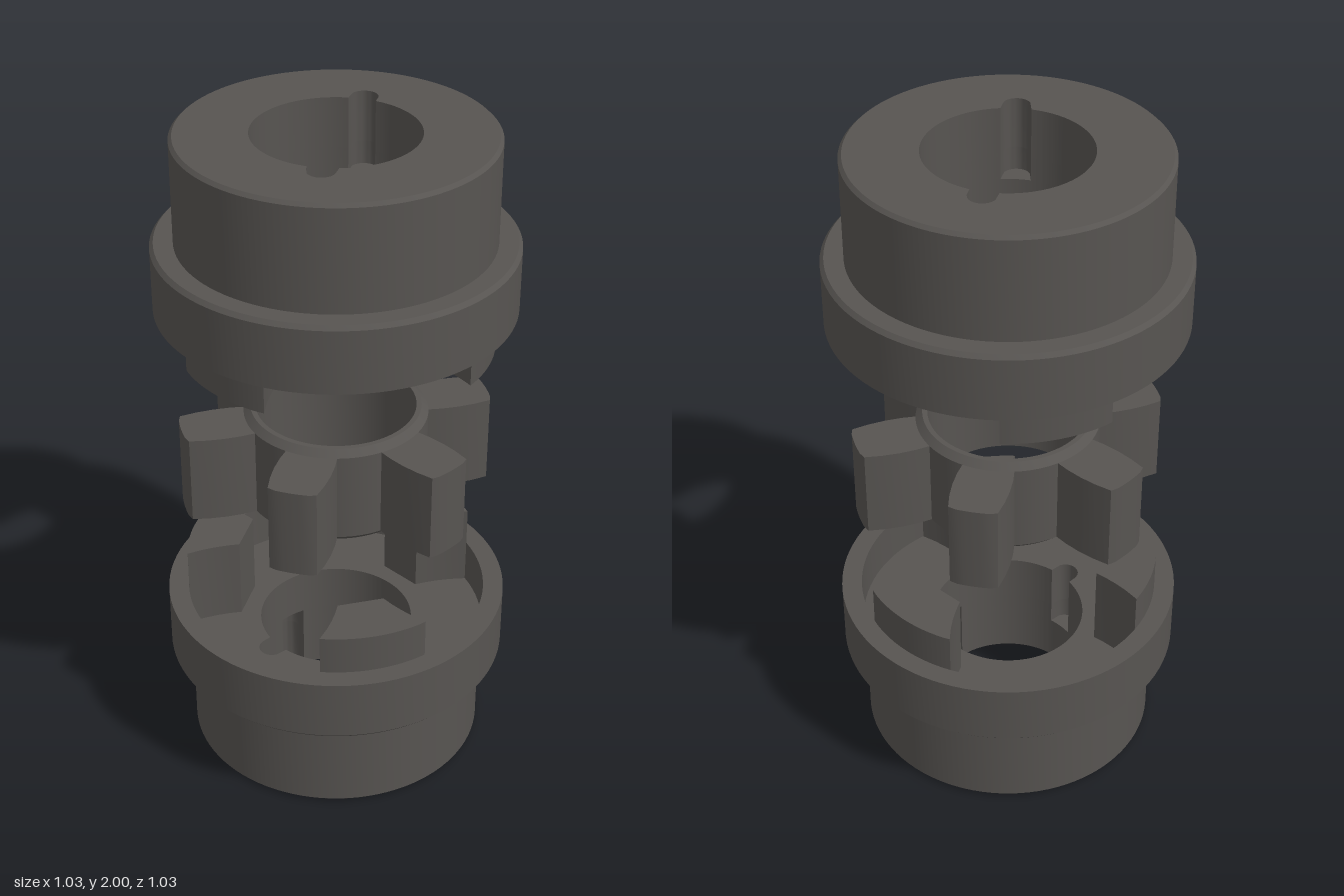
import * as THREE from 'three';
import { toCreasedNormals } from 'three/addons/utils/BufferGeometryUtils.js';

const steel = new THREE.MeshStandardMaterial({ color: 0x575451 });
steel.name = 'dark steel grey';

const rad = THREE.MathUtils.degToRad;
const BORE = 0.235;

// plan point at an angle from the front (+z towards +x), in shape space
const polar = (deg, r) => new THREE.Vector2(r * Math.sin(rad(deg)), -r * Math.cos(rad(deg)));

// plan point at distance r along an axis, shifted sideways by s
const along = (deg, r, s) => polar(deg, r).add(polar(deg + 90, s));

function part(geometry, name) {
  const mesh = new THREE.Mesh(toCreasedNormals(geometry, rad(28)), steel);
  mesh.name = name;
  return mesh;
}

// upright prism from a plan shape
function prism(shape, y0, y1, name) {
  const geo = new THREE.ExtrudeGeometry(shape, { depth: y1 - y0, bevelEnabled: false, curveSegments: 48 });
  geo.rotateX(-Math.PI / 2).translate(0, y0, 0);
  return part(geo, name);
}

function turned(profile, name) {
  const pts = [...profile, profile[0]].map(([x, y]) => new THREE.Vector2(x, y));
  return part(new THREE.LatheGeometry(pts, 96), name);
}

// ring whose bore carries half-round screw notches
function notchedRing(notches, y0, y1, name) {
  const shape = new THREE.Shape();
  shape.absarc(0, 0, 0.4, 0, Math.PI * 2);
  const d = 0.255, r = 0.04, pts = [];
  for (let a = 0; a < 360; a += 1.5) {
    let radius = BORE;
    for (const n of notches) {
      const t = rad(a - n), s = d * Math.sin(t);
      if (Math.cos(t) > 0 && Math.abs(s) < r) {
        radius = Math.max(radius, d * Math.cos(t) + Math.sqrt(r * r - s * s));
      }
    }
    pts.push(polar(a, radius));
  }
  shape.holes.push(new THREE.Path(pts));
  return prism(shape, y0, y1, name);
}

// half width of a spider arm, gently barrelled
const armHalfWidth = (r) => 0.082 - (r - 0.34) ** 2;

function makeHub(name) {
  const hub = new THREE.Group();
  hub.name = name;
  // stepped body with a recessed inner face
  hub.add(turned([
    [0.4, 0], [0.44, 0], [0.45, 0.01], [0.45, 0.31], [0.505, 0.31], [0.516, 0.322],
    [0.516, 0.51], [0.455, 0.51], [0.455, 0.37], [0.4, 0.37],
  ], 'hubShell'));
  // bore: two blind screw notches from outside, one from inside
  const outer = [83, 253.5], inner = 346;
  hub.add(notchedRing(outer, 0, 0.15, 'outerBore'));
  hub.add(notchedRing([...outer, inner], 0.15, 0.22, 'middleBore'));
  hub.add(notchedRing([inner], 0.22, 0.37, 'innerBore'));
  // three jaws with flanks that follow the spider arms
  for (let i = 0; i < 3; i++) {
    const c = 50.5 + i * 120, pts = [];
    const radii = [0.285, 0.32, 0.36, 0.4, 0.448];
    for (const r of radii) pts.push(along(c - 30, r, armHalfWidth(r) + 0.005));
    for (let a = -18; a <= 18; a += 3) pts.push(polar(c + a, 0.455));
    for (const r of radii.reverse()) pts.push(along(c + 30, r, -armHalfWidth(r) - 0.005));
    hub.add(prism(new THREE.Shape(pts), 0.37, 0.632, 'jaw'));
  }
  return hub;
}

function makeSpider() {
  const spider = new THREE.Group();
  spider.name = 'spider';
  spider.add(turned([
    [BORE, 0.84], [0.25, 0.84], [0.27, 0.86], [0.27, 1.13], [0.25, 1.15], [BORE, 1.15],
  ], 'spiderRing'));
  for (let i = 0; i < 6; i++) {
    const c = 20.5 + i * 60, pts = [];
    const radii = [0.25, 0.3, 0.35, 0.4, 0.45];
    for (const r of radii) pts.push(along(c, r, -armHalfWidth(r)));
    for (let a = -6; a <= 6; a += 3) pts.push(polar(c + a, 0.46));
    for (const r of radii.reverse()) pts.push(along(c, r, armHalfWidth(r)));
    spider.add(prism(new THREE.Shape(pts), 0.86, 1.13, 'spiderArm'));
  }
  return spider;
}

export function createModel() {
  const model = new THREE.Group();
  model.name = 'jawCoupling';
  const upper = makeHub('upperHub');
  // upper hub is the lower one turned over about a horizontal axis
  const flip = rad(140.5);
  upper.quaternion.setFromAxisAngle(new THREE.Vector3(Math.sin(flip), 0, Math.cos(flip)), Math.PI);
  upper.position.y = 2;
  model.add(makeHub('lowerHub'), makeSpider(), upper);
  return model;
}
